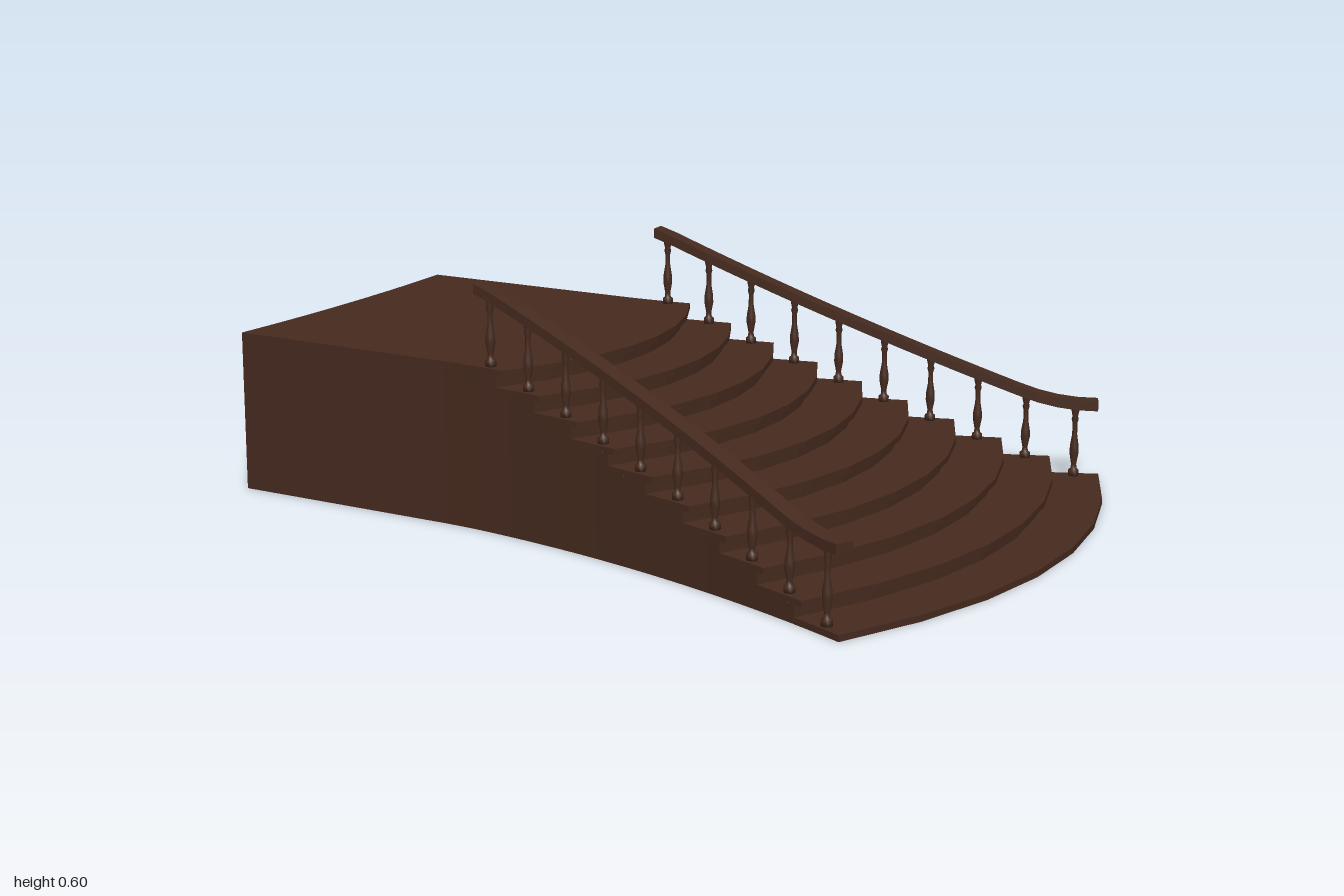
import * as THREE from 'three';

const STEPS = 10, THICK = 0.015, OVERHANG = 0.02, SEGMENTS = 7;

// Half width of the flight: straight landing, then flaring outwards
function halfWidth(x) {
  const u = Math.max(0, x + 0.35);
  return 0.42 + 0.005 * Math.min(1, (x + 1) / 0.65) + 0.083 * u + 0.152 * u * u;
}

// Step 0 is the landing, step 9 the lowest tread
const treadTop = i => 0.4 - i * 0.0428;
const sideX = i => -0.215 + i * 0.1144;
const bulge = i => 0.125 + i * 0.0067;

// Bowed front line of a step as [x, z] points, set back by an inset
function bow(i, inset = 0) {
  const points = [], end = sideX(i) - inset, w = halfWidth(end);
  for (let k = 0; k <= SEGMENTS; k++) {
    const t = -1 + 2 * k / SEGMENTS;
    points.push([end + bulge(i) * (1 - t * t) / (1 - 1 / 49), t * w]);
  }
  return points;
}

// Slightly hollow back line of the landing
function landingBack() {
  const points = [];
  for (let k = 0; k <= SEGMENTS; k++) {
    const t = -1 + 2 * k / SEGMENTS;
    points.push([-1 + 0.015 * (1 - t * t), t * 0.42]);
  }
  return points;
}

// Side line from one x to another as [x, z] points
function sideLine(x0, x1, side, n) {
  return Array.from({ length: n + 1 }, (_, k) => {
    const x = x0 + (x1 - x0) * k / n;
    return [x, side * halfWidth(x)];
  });
}

// Vertical sheet standing on a line of [x, z] points
function sheet(line, y0, y1) {
  const pos = [], index = [];
  line.forEach(([x, z], k) => {
    pos.push(x, y0, z, x, y1, z);
    if (k) {
      const a = 2 * k - 2;
      index.push(a, a + 1, a + 2, a + 1, a + 3, a + 2);
    }
  });
  const g = new THREE.BufferGeometry();
  g.setAttribute('position', new THREE.Float32BufferAttribute(pos, 3));
  g.setIndex(index);
  g.computeVertexNormals();
  return g;
}

// Handrail height (top face): long slope easing into a level end
function railTop(x) {
  if (x < -0.28) return 0.598;
  const slope = 0.595 - (x + 0.28) * 0.383;
  const ease = THREE.MathUtils.clamp((x - 0.64) / 0.16, 0, 1);
  return x < 0.64 ? slope : 0.2426 - 0.0613 * (ease - ease * ease / 2);
}

// Rectangular section swept along the flared side
function railGeometry(side) {
  const pos = [], index = [], n = 24, w = 0.0225, h = 0.024;
  for (let k = 0; k <= n; k++) {
    const x = -0.295 + 1.11 * k / n;
    const slope = (halfWidth(x + 0.01) - halfWidth(x - 0.01)) / 0.02;
    const len = Math.hypot(1, slope), y = railTop(x), z = halfWidth(x) - 0.02;
    for (const [o, dy] of [[-1, 0], [1, 0], [1, -h], [-1, -h]]) {
      pos.push(x - o * w * slope / len, y + dy, side * (z + o * w / len));
    }
    if (k) {
      for (let j = 0; j < 4; j++) {
        const a = 4 * k - 4 + j, b = 4 * k - 4 + (j + 1) % 4;
        index.push(a, b, a + 4, b, b + 4, a + 4);
      }
    }
  }
  const e = 4 * n;
  index.push(0, 2, 1, 0, 3, 2, e, e + 1, e + 2, e, e + 2, e + 3);
  if (side < 0) index.reverse();
  const g = new THREE.BufferGeometry();
  g.setAttribute('position', new THREE.Float32BufferAttribute(pos, 3));
  g.setIndex(index);
  g.computeVertexNormals();
  return g;
}

export function createModel() {
  const root = new THREE.Group();
  root.name = 'flaredStaircase';
  const color = 0x452a1e;
  const wood = new THREE.MeshStandardMaterial({ color, flatShading: true, side: THREE.DoubleSide });
  const turned = new THREE.MeshStandardMaterial({ color });
  const add = (name, geometry, material = wood, parent = root) => {
    const m = new THREE.Mesh(geometry, material);
    m.name = name;
    parent.add(m);
    return m;
  };

  for (let i = 0; i < STEPS; i++) {
    const front = bow(i);
    const back = i ? bow(i - 1, OVERHANG) : landingBack();
    const backX = back[0][0], top = treadTop(i), n = i ? 3 : 10;

    // Tread slab with bowed nosing; the first one is the landing
    const outline = [
      ...front,
      ...sideLine(sideX(i), backX, 1, n).slice(1, -1),
      ...back.reverse(),
      ...sideLine(backX, sideX(i), -1, n).slice(1, -1),
    ].map(([x, z]) => new THREE.Vector2(x, -z));
    const slab = new THREE.ExtrudeGeometry(new THREE.Shape(outline), { depth: THICK, bevelEnabled: false });
    slab.rotateX(-Math.PI / 2);
    add(i ? 'tread' : 'landing', slab).position.y = top - THICK;

    // Riser under the nosing and side walls down to the floor
    if (i < STEPS - 1) {
      add('riser', sheet(bow(i, OVERHANG), treadTop(i + 1) - THICK, top - THICK));
      for (const side of [-1, 1]) {
        add('sideWall', sheet(sideLine(backX, sideX(i) - OVERHANG, side, n), 0, top - THICK));
      }
    }
  }

  // Turned baluster profile: radius, fraction of height
  const profile = [
    [0, 0], [0.013, 0], [0.013, 0.08], [0.008, 0.1], [0.0065, 0.16], [0.0115, 0.32],
    [0.011, 0.42], [0.0065, 0.58], [0.006, 0.74], [0.009, 0.8], [0.007, 0.84], [0.01, 0.92], [0.01, 1],
  ].map(([r, y]) => new THREE.Vector2(r, y));
  const balusterGeometry = new THREE.LatheGeometry(profile, 12);

  for (const side of [-1, 1]) {
    const balustrade = new THREE.Group();
    balustrade.name = side > 0 ? 'frontBalustrade' : 'backBalustrade';
    root.add(balustrade);
    add('handrail', railGeometry(side), wood, balustrade);
    for (let i = 0; i < STEPS; i++) {
      const x = sideX(i) - 0.05, y = treadTop(i);
      const b = add('baluster', balusterGeometry, turned, balustrade);
      b.position.set(x, y, side * (halfWidth(x) - 0.022));
      b.scale.y = railTop(x) - 0.015 - y;
    }
  }
  return root;
}
